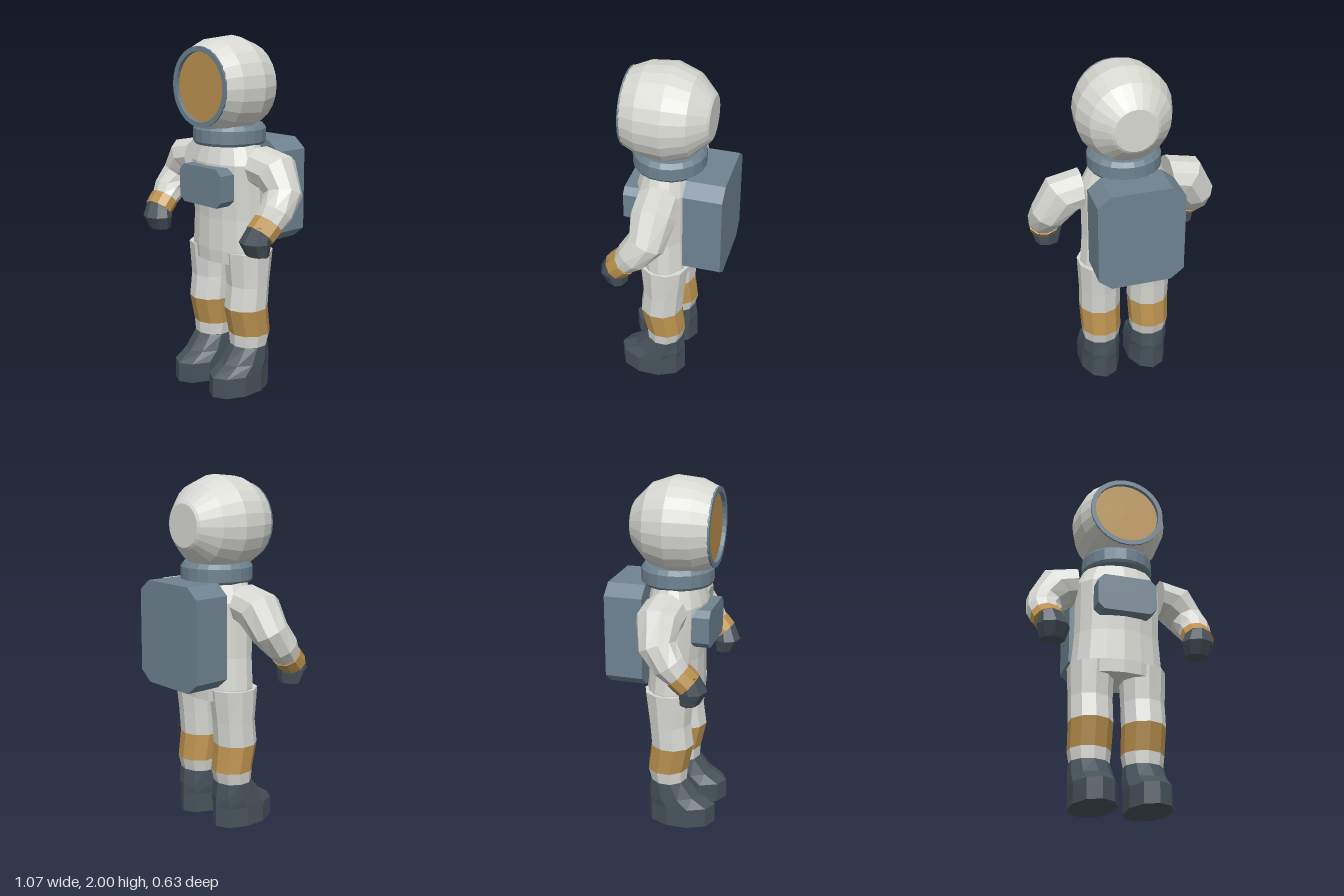
import * as THREE from 'three';

const mat = (name, color) => {
  const m = new THREE.MeshStandardMaterial({ color });
  m.name = name;
  return m;
};

// Cross-section: centre, elliptical radii, and the direction the section faces
const ring = (x, y, z, a, b, t = [0, 1, 0]) => ({ c: [x, y, z], a, b, t });

// Faceted skin through elliptical cross-sections
function loft(rings, sides, capStart = true, capEnd = true) {
  const loops = rings.map(({ c, a, b, t }) => {
    const centre = new THREE.Vector3(...c);
    const dir = new THREE.Vector3(...t).normalize();
    const v = Math.abs(dir.z) > 0.99 ? new THREE.Vector3(0, 1, 0) : new THREE.Vector3(0, 0, 1);
    v.addScaledVector(dir, -v.dot(dir)).normalize();
    const u = new THREE.Vector3().crossVectors(v, dir);
    const pts = [];
    for (let i = 0; i < sides; i++) {
      const ang = Math.PI / 2 + (i / sides) * Math.PI * 2;
      pts.push(centre.clone().addScaledVector(u, a * Math.cos(ang)).addScaledVector(v, b * Math.sin(ang)));
    }
    return { centre, pts };
  });
  const pos = [];
  const tri = (...p) => p.forEach((q) => pos.push(q.x, q.y, q.z));
  const last = loops.length - 1;
  for (let i = 0; i < sides; i++) {
    const j = (i + 1) % sides;
    for (let k = 0; k < last; k++) {
      const p = loops[k].pts, q = loops[k + 1].pts;
      tri(p[i], p[j], q[j]);
      tri(p[i], q[j], q[i]);
    }
    if (capStart) tri(loops[0].centre, loops[0].pts[j], loops[0].pts[i]);
    if (capEnd) tri(loops[last].centre, loops[last].pts[i], loops[last].pts[j]);
  }
  const g = new THREE.BufferGeometry();
  g.setAttribute('position', new THREE.Float32BufferAttribute(pos, 3));
  g.computeVertexNormals();
  return g;
}

// Box with its four front corners cut off
function cutBox(w, h, d, cx, cy) {
  const x = w / 2, y = h / 2;
  const corners = [
    [x - cx, -y], [x, -y + cy], [x, y - cy], [x - cx, y],
    [-x + cx, y], [-x, y - cy], [-x, -y + cy], [-x + cx, -y],
  ];
  const shape = new THREE.Shape(corners.map((p) => new THREE.Vector2(...p)));
  return new THREE.ExtrudeGeometry(shape, { depth: d, bevelEnabled: false });
}

export function createModel() {
  const model = new THREE.Group();
  model.name = 'spacesuitFigure';
  const suit = mat('suitWhite', 0xd8d8d3);
  const steel = mat('blueGrey', 0x6e8390);
  const gold = mat('gold', 0xbb924f);
  const dark = mat('darkSlate', 0x46525a);

  const add = (name, geometry, material, parent = model) => {
    const m = new THREE.Mesh(geometry, material);
    m.name = name;
    parent.add(m);
    return m;
  };

  // Helmet, turned around the front-back axis
  const Z = [0, 0, 1], hy = 1.73;
  const zRing = (z, r) => ring(0, hy, z, r, r, Z);
  add('helmet', loft([
    zRing(-0.205, 0.12), zRing(-0.195, 0.135), zRing(-0.105, 0.225),
    zRing(0.02, 0.27), zRing(0.165, 0.257), zRing(0.26, 0.215),
  ], 24, true, false), suit);
  add('visorRim', loft([
    zRing(0.25, 0.218), zRing(0.262, 0.218), zRing(0.262, 0.19), zRing(0.235, 0.19),
  ], 32, false, false), steel);
  add('visor', loft([zRing(0.232, 0.192), zRing(0.24, 0.192)], 32), gold);

  // Neck collar
  add('collar', loft([
    ring(0, 1.41, 0.037, 0.195, 0.195), ring(0, 1.425, 0.037, 0.206, 0.204),
    ring(0, 1.495, 0.037, 0.206, 0.204), ring(0, 1.52, 0.037, 0.185, 0.185),
  ], 20), steel);

  // Torso and hips
  add('torso', loft([
    ring(0, 0.745, 0.035, 0.25, 0.155), ring(0, 0.82, 0.035, 0.265, 0.16),
    ring(0, 1.0, 0.04, 0.25, 0.152), ring(0, 1.31, 0.045, 0.25, 0.165),
    ring(0, 1.415, 0.04, 0.2, 0.14),
  ], 16), suit);

  // Chest panel and backpack
  add('chestPanel', cutBox(0.34, 0.215, 0.1, 0.035, 0.035), steel).position.set(0, 1.19, 0.16);
  add('backpack', cutBox(0.49, 0.585, 0.215, 0.075, 0.06), steel).position.set(0, 1.1325, -0.315);

  for (const s of [1, -1]) {
    const side = s > 0 ? 'left' : 'right';

    // Leg: thigh, knee band, shin, boot
    const leg = new THREE.Group();
    leg.name = side + 'Leg';
    model.add(leg);
    const lx = 0.151 * s;
    const kneeLow = ring(lx, 0.33, 0.023, 0.12, 0.118);
    const kneeTop = ring(lx, 0.485, 0.05, 0.124, 0.125);
    add(side + 'Shin', loft([ring(lx, 0.23, 0.033, 0.106, 0.1), kneeLow], 10, false, false), suit, leg);
    add(side + 'KneeBand', loft([kneeLow, kneeTop], 10, false, false), gold, leg);
    add(side + 'Thigh', loft([
      kneeTop, ring(lx, 0.62, 0.036, 0.124, 0.121), ring(lx, 0.815, 0.032, 0.131, 0.143),
    ], 10, false), suit, leg);
    add(side + 'Boot', loft([
      ring(lx, 0, 0.105, 0.126, 0.2), ring(lx, 0.115, 0.105, 0.126, 0.2),
      ring(lx, 0.17, 0.06, 0.122, 0.155), ring(lx, 0.26, 0.028, 0.113, 0.11),
    ], 10), dark, leg);

    // Arm: bent sleeve, wrist cuff, gloved hand
    const arm = new THREE.Group();
    arm.name = side + 'Arm';
    model.add(arm);
    const wrist = [-0.07 * s, -0.72, 0.7];
    add(side + 'Sleeve', loft([
      ring(0.255 * s, 1.305, 0.035, 0.112, 0.125, [s, 0, 0]),
      ring(0.355 * s, 1.285, 0.03, 0.128, 0.125, [0.75 * s, -0.65, 0]),
      ring(0.43 * s, 1.175, 0.045, 0.105, 0.105, [0.3 * s, -0.88, 0.38]),
      ring(0.447 * s, 1.09, 0.115, 0.095, 0.092, [0, -0.8, 0.6]),
      ring(0.437 * s, 1.035, 0.165, 0.086, 0.072, wrist),
    ], 10), suit, arm);
    add(side + 'Cuff', loft([
      ring(0.438 * s, 1.037, 0.163, 0.093, 0.078, wrist),
      ring(0.43 * s, 0.982, 0.217, 0.091, 0.076, wrist),
    ], 10), gold, arm);
    add(side + 'Hand', loft([
      ring(0.415 * s, 0.87, 0.218, 0.07, 0.055), ring(0.413 * s, 0.945, 0.235, 0.092, 0.08),
      ring(0.43 * s, 1.035, 0.212, 0.066, 0.06),
    ], 8), dark, arm);
  }
  return model;
}
